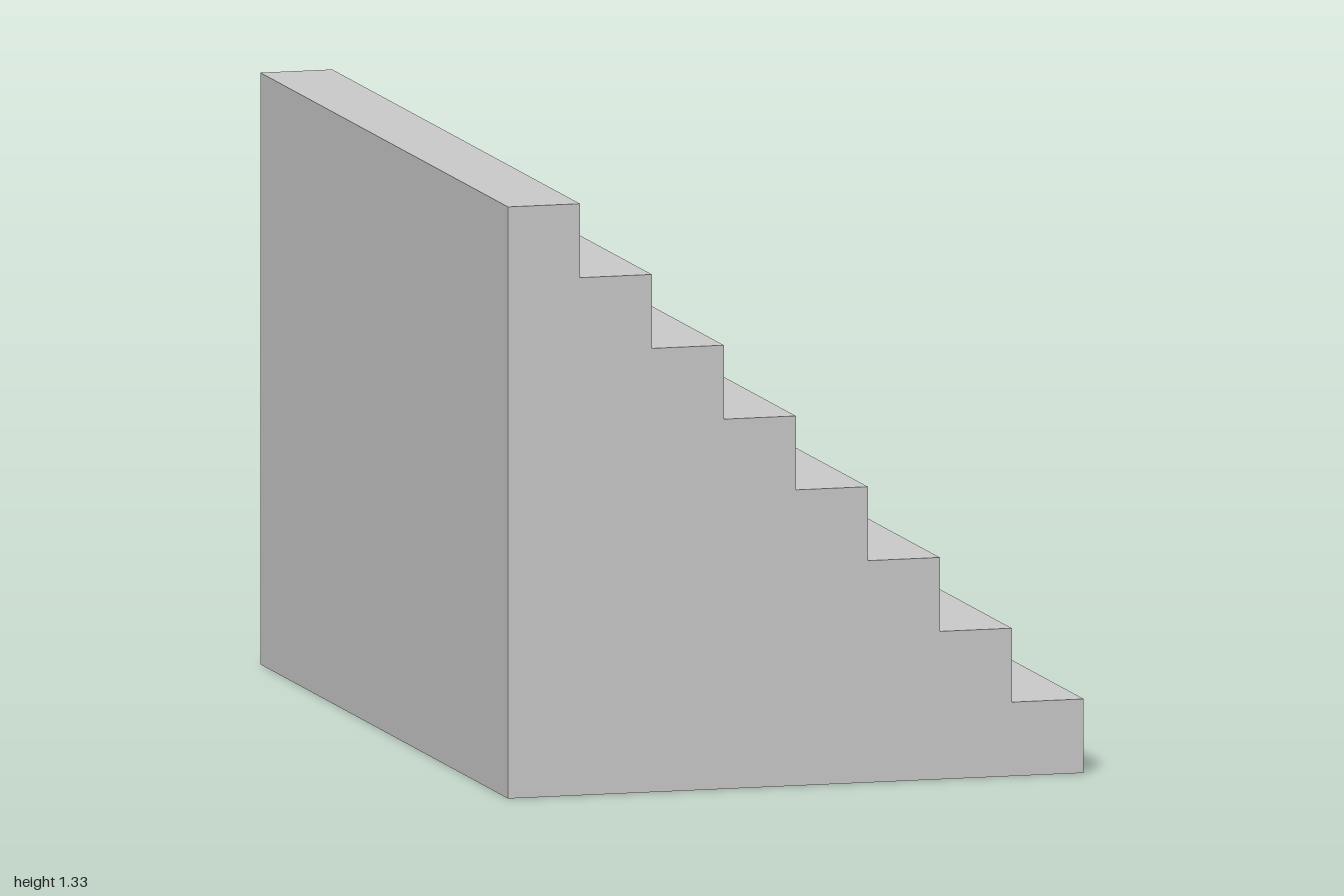
import * as THREE from 'three';

const STEPS = 8;
const SIZE = 1 / 6; // rise and run of each step
const WIDTH = 2;

export function createModel() {
  const group = new THREE.Group();
  group.name = 'staircase';

  // Stepped side profile, climbing from +x towards -x
  const half = (STEPS * SIZE) / 2;
  const profile = new THREE.Shape();
  profile.moveTo(-half, 0);
  profile.lineTo(half, 0);
  for (let i = 0; i < STEPS; i++) {
    const y = (i + 1) * SIZE;
    profile.lineTo(half - i * SIZE, y); // riser
    profile.lineTo(half - (i + 1) * SIZE, y); // tread
  }
  profile.closePath();

  // Solid flight of steps, extruded across its width
  const geometry = new THREE.ExtrudeGeometry(profile, { depth: WIDTH, bevelEnabled: false });
  geometry.translate(0, 0, -WIDTH / 2);
  const steps = new THREE.Mesh(
    geometry,
    new THREE.MeshStandardMaterial({ color: 0xcccccc, flatShading: true })
  );
  steps.name = 'steps';
  group.add(steps);

  return group;
}
